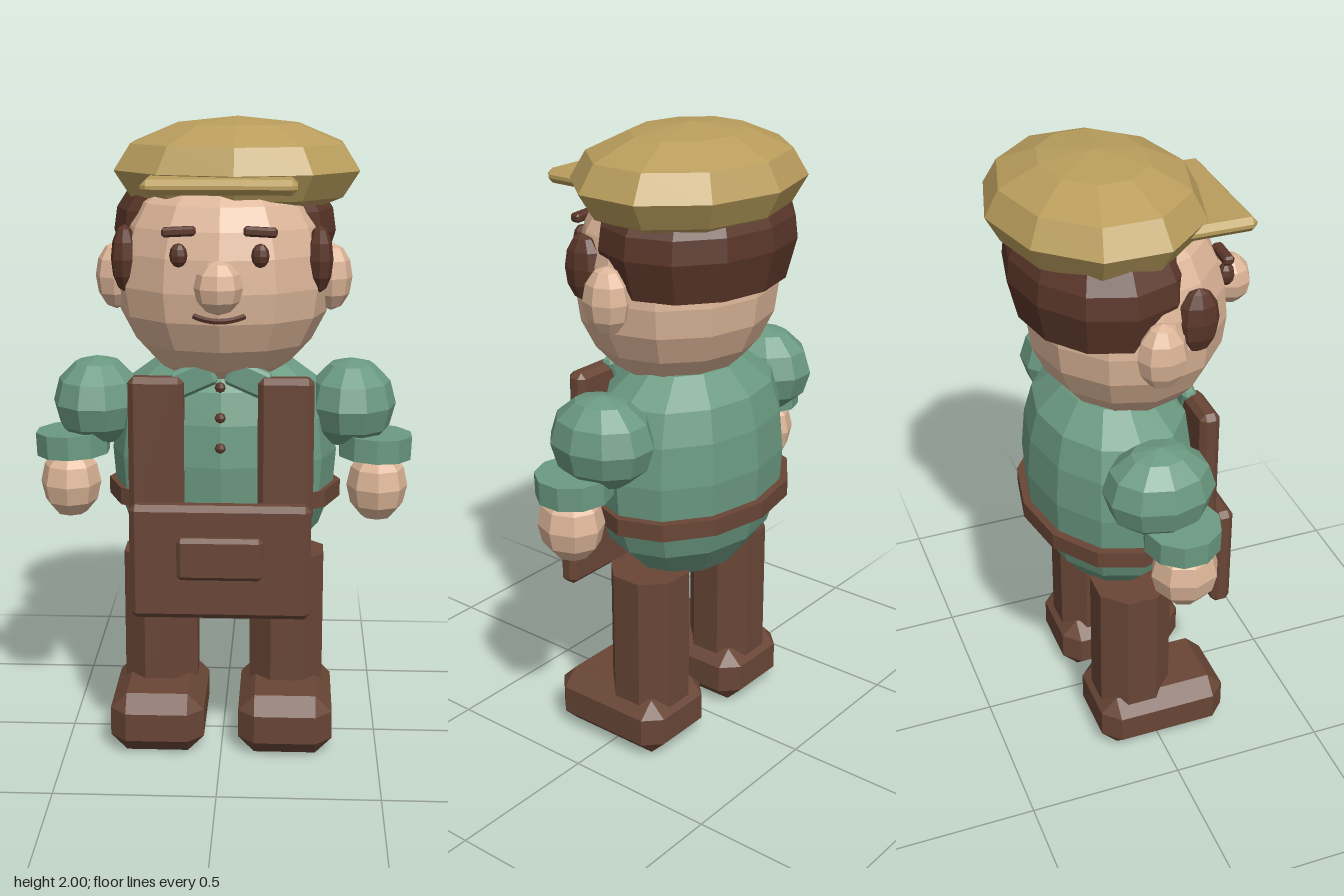
import * as THREE from 'three';
import { ConvexGeometry } from 'three/addons/geometries/ConvexGeometry.js';

const mat = (name, color) => {
  const m = new THREE.MeshStandardMaterial({ color, flatShading: true });
  m.name = name;
  return m;
};

export function createModel() {
  const skin = mat('skin', 0xdcb598);
  const hairBrown = mat('dark brown hair', 0x5a3629);
  const leather = mat('brown leather', 0x694636);
  const shirt = mat('green shirt', 0x6b9a82);
  const tan = mat('tan cap', 0xb99d5c);

  const model = new THREE.Group();
  model.name = 'worker';

  const add = (name, geo, material, x = 0, y = 0, z = 0) => {
    const mesh = new THREE.Mesh(geo, material);
    mesh.name = name;
    mesh.position.set(x, y, z);
    model.add(mesh);
    return mesh;
  };
  // Box with all edges cut off by c
  const chamferBox = (w, h, d, c) => {
    const pts = [];
    for (const i of [-1, 1]) for (const j of [-1, 1]) for (const k of [-1, 1]) {
      const x = w / 2, y = h / 2, z = d / 2;
      pts.push(
        new THREE.Vector3(i * x, j * (y - c), k * (z - c)),
        new THREE.Vector3(i * (x - c), j * y, k * (z - c)),
        new THREE.Vector3(i * (x - c), j * (y - c), k * z));
    }
    return new ConvexGeometry(pts);
  };
  const ellipsoid = (rx, ry, rz, seg = 8, rings = 6) =>
    new THREE.SphereGeometry(1, seg, rings).scale(rx, ry, rz);
  // Lathe from [radius, height] pairs, flattened in depth
  const lathe = (pts, seg, depth) =>
    new THREE.LatheGeometry(pts.map(p => new THREE.Vector2(...p)), seg).scale(1, 1, depth);

  // Body
  add('torso', lathe([[0, 0.56], [0.2, 0.595], [0.305, 0.7], [0.35, 0.82], [0.36, 0.95],
    [0.345, 1.08], [0.31, 1.18], [0.2, 1.26], [0, 1.28]], 12, 0.74), shirt, 0, 0, -0.06);
  add('belt', lathe([[0.32, 0.79], [0.375, 0.79], [0.375, 0.845], [0.32, 0.845], [0.32, 0.79]],
    12, 0.72), leather, 0, 0, -0.075);

  // Apron
  add('apronPanel', chamferBox(0.56, 0.365, 0.065, 0.018), leather, 0, 0.663, 0.233);
  add('apronPocket', chamferBox(0.265, 0.135, 0.04, 0.013), leather, 0, 0.682, 0.272);
  for (const y of [1.02, 1.115, 1.21])
    add('shirtButton', ellipsoid(0.017, 0.017, 0.012, 8, 4), hairBrown, 0, y, 0.222);

  // Head and face
  add('head', lathe([[0, 1.19], [0.13, 1.205], [0.21, 1.25], [0.275, 1.32], [0.322, 1.41],
    [0.335, 1.5], [0.325, 1.6], [0.3, 1.68], [0.26, 1.75], [0.17, 1.82], [0, 1.85]], 12, 0.91),
  skin, 0, 0, -0.005);
  add('hair', lathe([[0, 1.53], [0.31, 1.525], [0.348, 1.65], [0.338, 1.72], [0.28, 1.81], [0, 1.85]],
    12, 0.79), hairBrown, 0, 0, -0.09);
  add('nose', ellipsoid(0.072, 0.08, 0.068), skin, 0, 1.53, 0.337);
  const smile = new THREE.QuadraticBezierCurve3(new THREE.Vector3(-0.075, 1.438, 0.283),
    new THREE.Vector3(0, 1.412, 0.322), new THREE.Vector3(0.075, 1.438, 0.283));
  add('mouth', new THREE.TubeGeometry(smile, 8, 0.009, 5), hairBrown);

  // Cap
  add('capCrown', ellipsoid(0.395, 0.16, 0.325, 10, 6).rotateY(Math.PI / 2).scale(0.395 / 0.325, 1, 0.325 / 0.395),
    tan, 0.04, 1.84, -0.085);
  add('capBrim', chamferBox(0.455, 0.045, 0.3, 0.017), tan, 0, 1.815, 0.172);

  // Paired parts
  for (const s of [1, -1]) {
    const side = s > 0 ? 'left' : 'right';
    add(side + 'Eye', ellipsoid(0.027, 0.036, 0.027), hairBrown, s * 0.12, 1.615, 0.272);
    add(side + 'Eyebrow', chamferBox(0.1, 0.028, 0.035, 0.007), hairBrown, s * 0.12, 1.683, 0.26)
      .rotation.z = s * -0.05;
    add(side + 'Sideburn', ellipsoid(0.042, 0.103, 0.066), hairBrown, s * 0.295, 1.585, 0.112);
    add(side + 'Ear', ellipsoid(0.065, 0.105, 0.077), skin, s * 0.335, 1.515, -0.012);

    add(side + 'Collar', chamferBox(0.13, 0.085, 0.045, 0.01), shirt, s * 0.083, 1.225, 0.155)
      .rotation.z = s * -0.42;
    add(side + 'ApronStrap', chamferBox(0.172, 0.45, 0.065, 0.018), leather, s * 0.199, 1.007, 0.172);

    add(side + 'Sleeve', ellipsoid(0.142, 0.145, 0.172, 10, 6), shirt, s * 0.405, 1.108, -0.045);
    add(side + 'Cuff', new THREE.CylinderGeometry(0.118, 0.118, 0.075, 10), shirt, s * 0.482, 0.983, 0)
      .rotation.z = s * -0.04;
    add(side + 'Hand', ellipsoid(0.097, 0.118, 0.107), skin, s * 0.49, 0.852, 0.008);

    add(side + 'Leg', new THREE.CylinderGeometry(0.129, 0.129, 0.45, 8).rotateY(Math.PI / 8),
      leather, s * 0.205, 0.385, -0.06);
    add(side + 'Boot', chamferBox(0.3, 0.195, 0.43, 0.052), leather, s * 0.205, 0.0975, 0.02);
  }
  return model;
}
